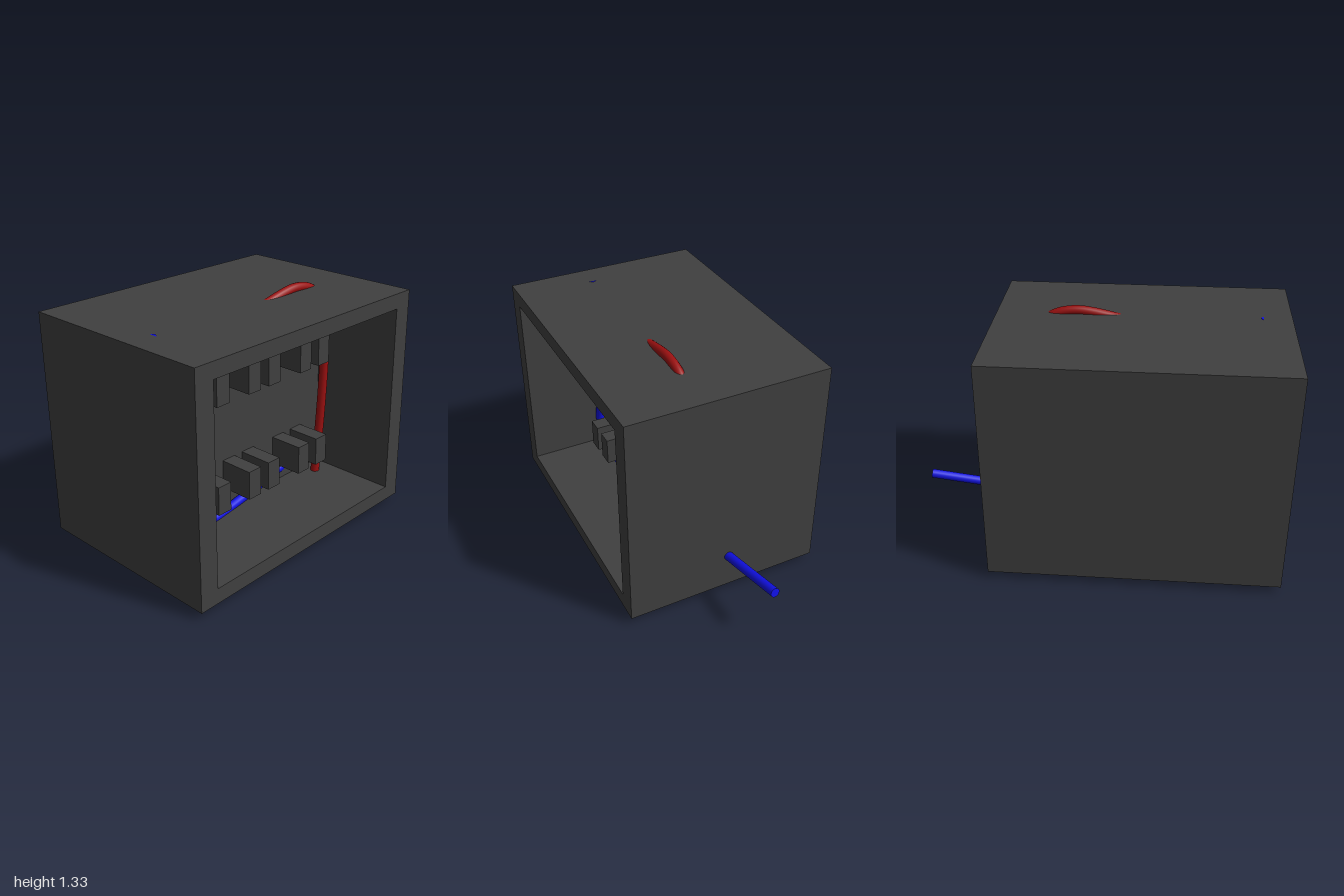
import * as THREE from 'three';

const grey = new THREE.MeshStandardMaterial({ name: 'dark grey', color: 0x404040 });
const red = new THREE.MeshStandardMaterial({ name: 'deep red', color: 0x9a1010 });
const blue = new THREE.MeshStandardMaterial({ name: 'bright blue', color: 0x1010e0 });

const LEFT = -1, RIGHT = 0.585, BOTTOM = 0.04, TOP = 1.29, HALF_DEPTH = 0.565;
const WALL_Z = 0.04; // inner back wall of the recess
const CABLE_RADIUS = 0.026;

function rectangle(path, x0, y0, x1, y1) {
  path.moveTo(x0, y0);
  path.lineTo(x1, y0);
  path.lineTo(x1, y1);
  path.lineTo(x0, y1);
  path.closePath();
  return path;
}

function addBox(group, name, x0, x1, y0, y1, z0, z1) {
  const mesh = new THREE.Mesh(new THREE.BoxGeometry(x1 - x0, y1 - y0, z1 - z0), grey);
  mesh.position.set((x0 + x1) / 2, (y0 + y1) / 2, (z0 + z1) / 2);
  mesh.name = name;
  group.add(mesh);
}

// Round cable along a smooth path, closed by a disc at each end
function makeCable(name, points, material) {
  const cable = new THREE.Group();
  cable.name = name;
  const curve = new THREE.CatmullRomCurve3(points.map((p) => new THREE.Vector3(...p)));
  const tube = new THREE.Mesh(new THREE.TubeGeometry(curve, 120, CABLE_RADIUS, 16), material);
  tube.name = name + 'Tube';
  cable.add(tube);
  for (const [t, sign] of [[0, -1], [1, 1]]) {
    const cap = new THREE.Mesh(new THREE.CircleGeometry(CABLE_RADIUS, 16), material);
    cap.name = name + 'End';
    cap.position.copy(curve.getPoint(t));
    const outward = curve.getTangent(t).multiplyScalar(sign);
    cap.quaternion.setFromUnitVectors(new THREE.Vector3(0, 0, 1), outward);
    cable.add(cap);
  }
  return cable;
}

export function createModel() {
  const model = new THREE.Group();
  model.name = 'cableBox';

  // Casing: solid rear half and an open frame in front
  const outline = rectangle(new THREE.Shape(), LEFT, BOTTOM, RIGHT, TOP);
  outline.holes.push(rectangle(new THREE.Path(), -0.89, 0.125, 0.477, 1.205));
  const frame = new THREE.Mesh(
    new THREE.ExtrudeGeometry(outline, { depth: HALF_DEPTH - WALL_Z, bevelEnabled: false }), grey);
  frame.position.z = WALL_Z;
  frame.name = 'frontFrame';
  model.add(frame);
  addBox(model, 'rearCasing', LEFT, RIGHT, BOTTOM, TOP, -HALF_DEPTH, WALL_Z);

  // Two rows of terminal blocks in pairs
  for (const y of [0.25, 0.865]) {
    for (const x of [-0.708, -0.558, -0.328, -0.178, 0.075, 0.227]) {
      addBox(model, 'terminalBlock', x, x + 0.09, y, y + 0.165, WALL_Z, 0.24);
    }
  }

  // Red cable arches through the roof and leaves through the floor
  const z = 0.125;
  model.add(makeCable('redCable', [
    [-0.95, 0.985, z], [-0.89, 1.005, z], [-0.6, 1.11, z], [-0.3, 1.205, z], [-0.08, 1.265, z],
    [0.16, 1.304, z], [0.29, 1.27, z], [0.36, 1.195, z], [0.41, 1.05, z], [0.421, 0.85, z],
    [0.402, 0.5, z], [0.367, 0.15, z], [0.347, 0.003, z],
  ], red));

  // Blue cable drops from the roof and leaves through the right wall
  model.add(makeCable('blueCable', [
    [-0.86, 1.287, z], [-0.838, 1.19, z], [-0.803, 1.0, z], [-0.795, 0.8, z], [-0.82, 0.55, z],
    [-0.863, 0.3, z], [-0.85, 0.22, z], [-0.79, 0.165, z], [-0.7, 0.143, 0.12], [-0.5, 0.13, 0.1],
    [-0.2, 0.138, 0.06], [0.2, 0.187, 0.017], [0.585, 0.25, -0.018], [0.994, 0.326, -0.055],
  ], blue));

  return model;
}
